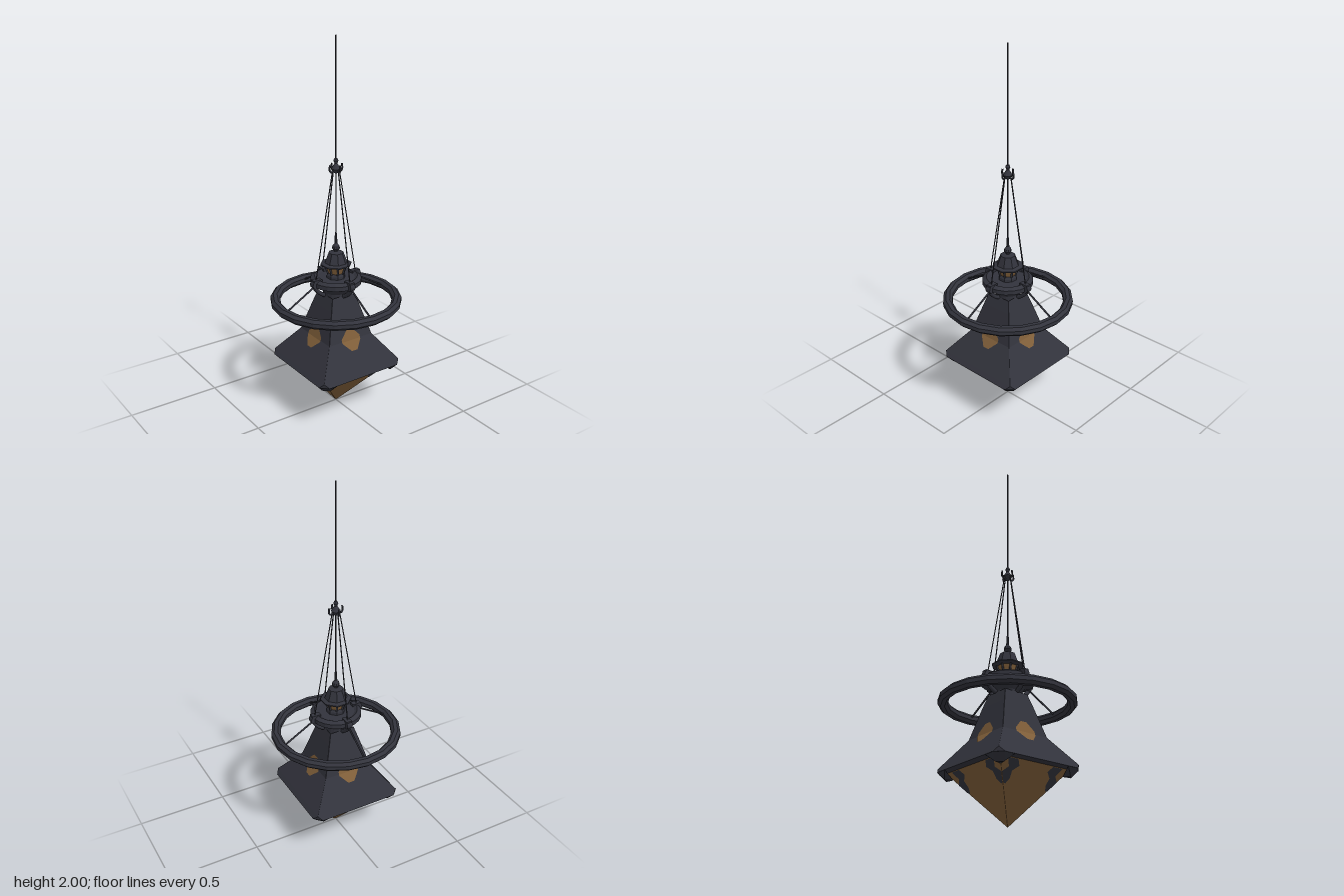
import * as THREE from 'three';
import { ConvexGeometry } from 'three/addons/geometries/ConvexGeometry.js';

const iron = new THREE.MeshStandardMaterial({ color: 0x32333c });
iron.name = 'dark iron';
const amber = new THREE.MeshStandardMaterial({ color: 0x7f5e39 });
amber.name = 'amber glass';

const V = (x, y, z) => new THREE.Vector3(x, y, z);

function flat(geometry) {
  const g = geometry.index ? geometry.toNonIndexed() : geometry;
  g.computeVertexNormals();
  return g;
}

// Faceted turned part from [radius, height] points, bottom to top
function lathe(profile, sides, turn = 0) {
  const pts = profile.map(([r, y]) => new THREE.Vector2(r, y));
  return flat(new THREE.LatheGeometry(pts, sides, turn));
}

// Square loft with cut corners from [height, half width, cut] rings
function loft(rings) {
  const loops = rings.map(([y, h, c]) => [
    [h, -h + c], [h, h - c], [h - c, h], [-h + c, h],
    [-h, h - c], [-h, -h + c], [-h + c, -h], [h - c, -h],
  ].map(([x, z]) => [x, y, z]));
  const pos = [];
  for (let k = 0; k + 1 < loops.length; k++) {
    for (let i = 0; i < 8; i++) {
      const j = (i + 1) % 8, a = loops[k], b = loops[k + 1];
      pos.push(...a[i], ...b[i], ...b[j], ...a[i], ...b[j], ...a[j]);
    }
  }
  const g = new THREE.BufferGeometry();
  g.setAttribute('position', new THREE.Float32BufferAttribute(pos, 3));
  g.computeVertexNormals();
  return g;
}

// Thin plate lying on a sloping front face, whose depth is depthAt(y)
function plate(points, depthAt) {
  const g = new THREE.ShapeGeometry(new THREE.Shape(points.map(([x, y]) => new THREE.Vector2(x, y))));
  const p = g.attributes.position;
  for (let i = 0; i < p.count; i++) p.setZ(i, depthAt(p.getY(i)) + 0.003);
  return flat(g);
}

// Straight bar between two points
function bar(a, b, radius) {
  const g = new THREE.CylinderGeometry(radius, radius, a.distanceTo(b), 6);
  g.applyQuaternion(new THREE.Quaternion().setFromUnitVectors(V(0, 1, 0), b.clone().sub(a).normalize()));
  const m = a.clone().add(b).multiplyScalar(0.5);
  return g.translate(m.x, m.y, m.z);
}

function bentRod(points, radius) {
  return new THREE.TubeGeometry(new THREE.CatmullRomCurve3(points), 10, radius, 6);
}

export function createModel() {
  const model = new THREE.Group();
  model.name = 'hangingLantern';
  const add = (parent, name, geometry, material = iron) => {
    const mesh = new THREE.Mesh(geometry, material);
    mesh.name = name;
    parent.add(mesh);
    return mesh;
  };

  // Glass point and flared square hood
  add(model, 'glassPoint', loft([[0, 0.0006, 0.0002], [0.266, 0.213, 0.0005]]), amber);
  add(model, 'hood', loft([
    [0.267, 0.19, 0.03], [0.267, 0.26, 0.04], [0.29, 0.243, 0.001],
    [0.43, 0.137, 0.001], [0.595, 0.09, 0.001], [0.66, 0.07, 0.001],
  ]));

  // Large hoop
  const hoop = [];
  for (let i = 0; i <= 8; i++) {
    const a = -Math.PI * 5 / 8 + i * Math.PI / 4;
    hoop.push([0.325 + 0.027 * Math.cos(a), 0.62 + 0.027 * Math.sin(a)]);
  }
  add(model, 'hoop', lathe(hoop, 20));

  // Round collar above the hood
  add(model, 'collar', lathe([
    [0.066, 0.635], [0.07, 0.67], [0.088, 0.695], [0.115, 0.71], [0.136, 0.718],
    [0.136, 0.742], [0.115, 0.755], [0.1, 0.745], [0, 0.745],
  ], 20));

  // Small lamp house with windows and roof
  const eighth = Math.PI / 8;
  add(model, 'lampBase', lathe([[0.05, 0.74], [0.05, 0.76], [0.042, 0.775], [0, 0.775]], 8, eighth));
  add(model, 'lampWindows', lathe([[0.042, 0.77], [0.057, 0.815]], 8, eighth), amber);
  for (let i = 0; i < 8; i++) {
    const a = (i + 0.5) * Math.PI / 4, s = Math.sin(a), c = Math.cos(a);
    add(model, 'windowPost', bar(V(0.043 * s, 0.77, 0.043 * c), V(0.058 * s, 0.817, 0.058 * c), 0.006));
  }
  add(model, 'lampRoof', lathe([
    [0.05, 0.81], [0.084, 0.818], [0.083, 0.824], [0.06, 0.83],
    [0.04, 0.885], [0.012, 0.892], [0, 0.893],
  ], 8, eighth));
  add(model, 'finial', lathe([
    [0.01, 0.885], [0.012, 0.897], [0.021, 0.908], [0.018, 0.922],
    [0.008, 0.935], [0.006, 0.98], [0, 1.02],
  ], 10));

  // Hanging rod and top knob
  add(model, 'lowerRod', bar(V(0, 1, 0), V(0, 1.33, 0), 0.0035));
  add(model, 'upperRod', bar(V(0, 1.38, 0), V(0, 2, 0), 0.004));
  add(model, 'topKnob', lathe([
    [0, 1.31], [0.014, 1.32], [0.024, 1.338], [0.014, 1.355], [0.007, 1.366],
    [0.013, 1.38], [0.008, 1.391], [0, 1.395],
  ], 10));

  // Everything repeated on the four sides
  const glassDepth = y => 0.801 * y;
  const lowerDepth = y => 0.26 + (y - 0.267) * (0.137 - 0.26) / (0.43 - 0.267);
  const upperDepth = y => 0.137 + (y - 0.43) * (0.09 - 0.137) / (0.595 - 0.43);
  for (let k = 0; k < 4; k++) {
    const side = new THREE.Group();
    side.name = 'side';
    side.rotation.y = k * Math.PI / 2;
    model.add(side);

    // Amber patch folded over the bend of the hood
    add(side, 'upperPatch', plate([[-0.058, 0.43], [0.058, 0.43], [0.058, 0.445], [0.018, 0.488], [-0.018, 0.488], [-0.058, 0.445]], upperDepth), amber);
    add(side, 'lowerPatch', plate([[-0.018, 0.385], [0.018, 0.385], [0.058, 0.425], [0.058, 0.43], [-0.058, 0.43], [-0.058, 0.425]], lowerDepth), amber);

    // Scrolled straps on the glass
    for (const s of [-1, 1]) {
      add(side, 'glassStrap', plate([
        [0.165, 0.262], [0.105, 0.262], [0.085, 0.238], [0.113, 0.215],
        [0.108, 0.185], [0.12, 0.163], [0.132, 0.165], [0.165, 0.206], [0.14, 0.228],
      ].map(([x, y]) => [s * x, y]), glassDepth));
    }

    // Drooping hood corner
    add(side, 'hoodCorner', flat(new ConvexGeometry([
      V(0.26, 0.268, 0.22), V(0.22, 0.268, 0.26), V(0.258, 0.268, 0.16), V(0.16, 0.268, 0.258),
      V(0.228, 0.231, 0.2), V(0.2, 0.231, 0.228), V(0.187, 0.233, 0.187),
    ])));

    // Collar clamp with its hook
    add(side, 'clampRoll', new THREE.CylinderGeometry(0.024, 0.024, 0.03, 10).rotateZ(Math.PI / 2).translate(0, 0.734, 0.131));
    add(side, 'clampPlate', new THREE.BoxGeometry(0.03, 0.014, 0.05).translate(0, 0.752, 0.122));
    add(side, 'clampHook', bentRod([V(0, 0.725, 0.14), V(0, 0.7, 0.125), V(0, 0.675, 0.1), V(0, 0.66, 0.075)], 0.012));

    // Strut to the hoop, cable and top hook
    add(side, 'strut', bar(V(0, 0.725, 0.13), V(0, 0.625, 0.305), 0.005));
    add(side, 'cable', bar(V(0, 0.75, 0.127), V(0, 1.335, 0.02), 0.003));
    add(side, 'topHook', bentRod([V(0, 1.33, 0.015), V(0, 1.322, 0.028), V(0, 1.335, 0.039), V(0, 1.362, 0.036)], 0.005));
  }
  return model;
}
